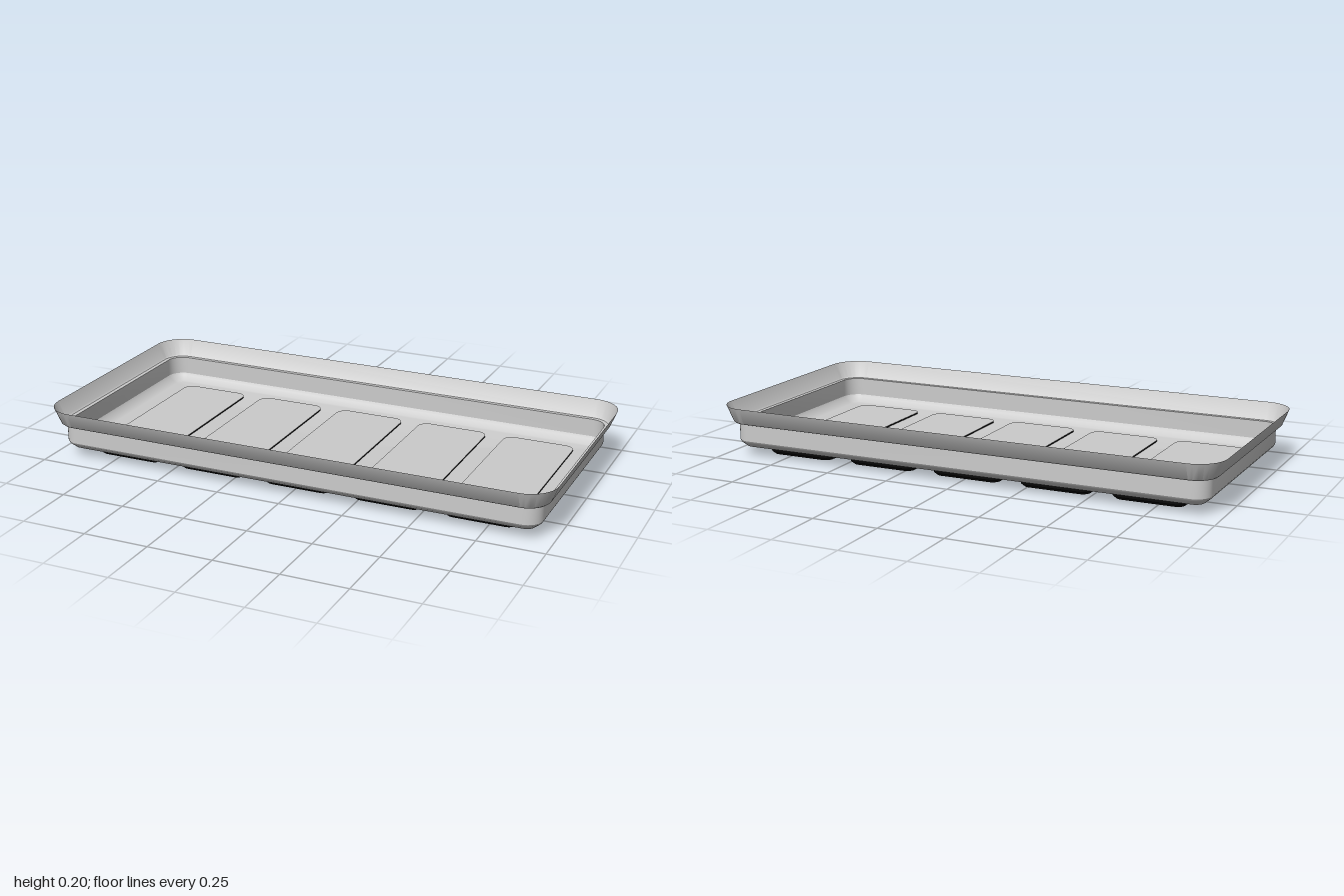
import * as THREE from 'three';
import { toCreasedNormals } from 'three/addons/utils/BufferGeometryUtils.js';

const CORNER_STEPS = 8;

// Rounded rectangle in the xz plane, at height y
function ring(hx, hz, r, y) {
  const points = [];
  for (let q = 0; q < 4; q++) {
    const sx = q === 0 || q === 3 ? 1 : -1;
    const sz = q < 2 ? 1 : -1;
    for (let k = 0; k <= CORNER_STEPS; k++) {
      const a = (q + k / CORNER_STEPS) * Math.PI / 2;
      points.push([sx * (hx - r) + r * Math.cos(a), y, sz * (hz - r) + r * Math.sin(a)]);
    }
  }
  return points;
}

// Skin rings listed from bottom to top, always closing the bottom
function loft(rings, capTop) {
  const n = rings[0].length;
  const pos = rings.flat(2);
  const index = [];
  for (let i = 0; i < rings.length - 1; i++) {
    for (let j = 0; j < n; j++) {
      const a = i * n + j, b = i * n + (j + 1) % n;
      index.push(a, a + n, b, b, a + n, b + n);
    }
  }
  const cap = (row, up) => {
    const centre = pos.length / 3;
    pos.push(0, rings[row][0][1], 0);
    for (let j = 0; j < n; j++) {
      const a = row * n + j, b = row * n + (j + 1) % n;
      if (up) index.push(centre, b, a);
      else index.push(centre, a, b);
    }
  };
  cap(0, false);
  if (capTop) cap(rings.length - 1, true);
  const geometry = new THREE.BufferGeometry();
  geometry.setAttribute('position', new THREE.Float32BufferAttribute(pos, 3));
  geometry.setIndex(index);
  return toCreasedNormals(geometry, 0.5);
}

export function createModel() {
  const model = new THREE.Group();
  model.name = 'tray';
  const grey = new THREE.MeshStandardMaterial({ color: 0xcccccc, side: THREE.DoubleSide });
  const black = new THREE.MeshStandardMaterial({ color: 0x050505 });
  const add = (name, geometry, material, x = 0) => {
    const mesh = new THREE.Mesh(geometry, material);
    mesh.name = name;
    mesh.position.x = x;
    model.add(mesh);
  };

  // Thin shell: [inset, height] from the floor, up the wall, over the ledge to the flared rim
  const profile = [
    [0.085, 0.034], [0.075, 0.036], [0.053, 0.054], [0.048, 0.063],
    [0.048, 0.133], [0.031, 0.133], [0.025, 0.138], [0, 0.2],
  ];
  add('trayShell', loft(profile.map(([d, y]) => ring(1 - d, 0.49 - d, 0.11 - d, y)), false), grey);

  // Five foot pads under the floor, each with a thin panel showing inside
  const padGeometry = loft([
    ring(0.128, 0.353, 0.03, 0), ring(0.14, 0.365, 0.04, 0.011), ring(0.14, 0.365, 0.04, 0.039),
  ], false);
  const panelGeometry = loft([ring(0.14, 0.365, 0.04, 0.039), ring(0.14, 0.365, 0.04, 0.04)], true);
  for (let i = -2; i <= 2; i++) {
    add('footPad', padGeometry, black, i * 0.355);
    add('floorPanel', panelGeometry, grey, i * 0.355);
  }
  return model;
}
